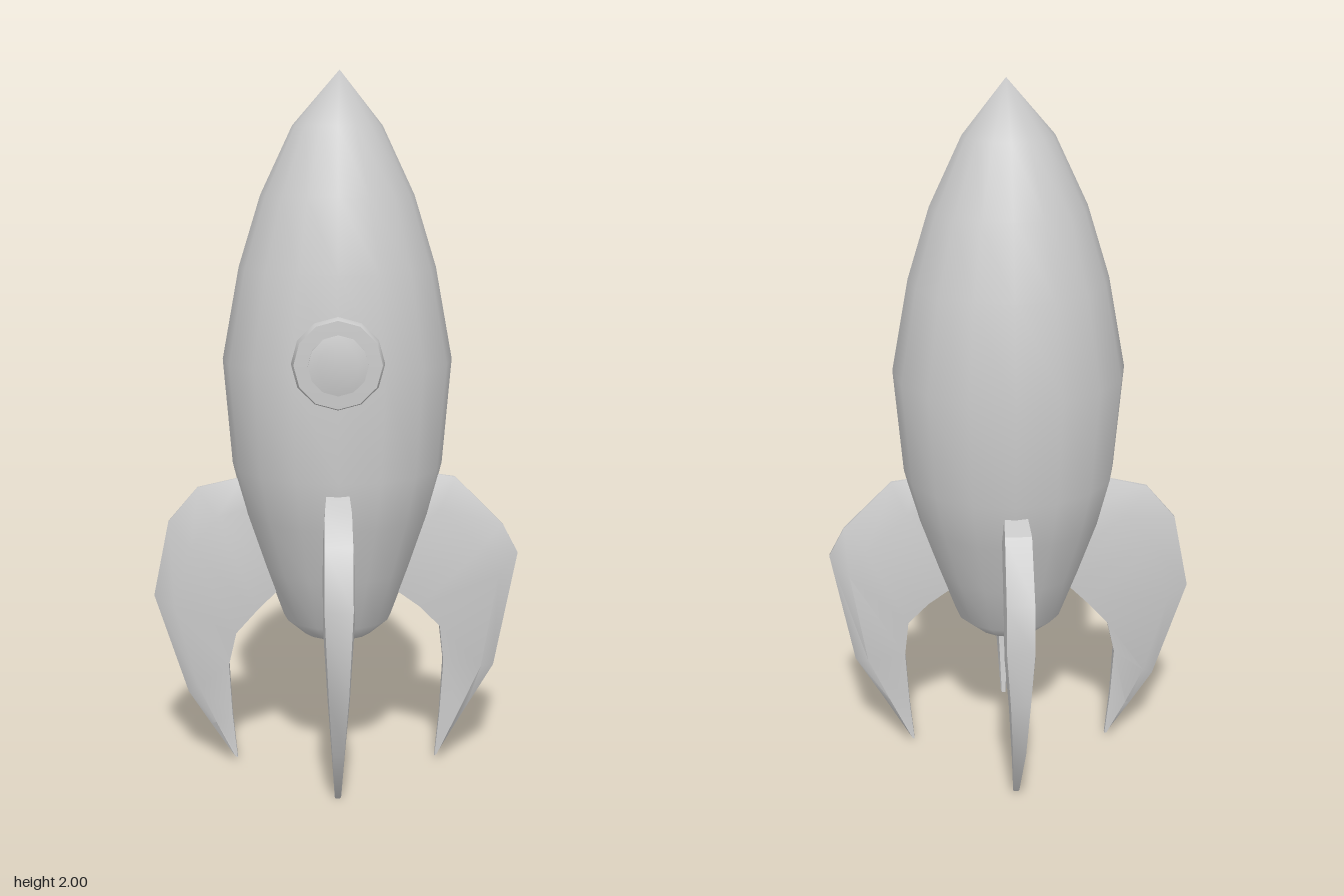
import * as THREE from 'three';
import { mergeVertices, toCreasedNormals } from 'three/addons/utils/BufferGeometryUtils.js';

const material = new THREE.MeshStandardMaterial({ color: 0xcccccc });
const points = (list) => list.map(([r, y]) => new THREE.Vector2(r, y));

// Pointed hull, slightly flattened on the front
function createHull() {
  const profile = points([
    [0, 0.4], [0.1, 0.403], [0.155, 0.45], [0.21, 0.6], [0.265, 0.76], [0.3, 0.9],
    [0.325, 1.2], [0.277, 1.46], [0.215, 1.66], [0.125, 1.85], [0, 2],
  ]);
  let geometry = new THREE.LatheGeometry(profile, 16);
  const pos = geometry.attributes.position;
  for (let i = 0; i < pos.count; i++) {
    const y = pos.getY(i);
    pos.setX(i, pos.getX(i) + (y > 1.95 ? 0.008 : 0.002));
    pos.setZ(i, Math.min(pos.getZ(i) - 0.012 * Math.sin(Math.PI * (y - 0.4) / 1.6), 0.283));
  }
  geometry.deleteAttribute('normal');
  geometry.deleteAttribute('uv');
  geometry = mergeVertices(geometry, 1e-4);
  geometry.computeVertexNormals();
  const hull = new THREE.Mesh(geometry, material);
  hull.name = 'hull';
  return hull;
}

// Stepped round window; its axis points to the front
function createPorthole() {
  const group = new THREE.Group();
  group.name = 'porthole';
  const parts = {
    portholeFrame: [[0, 0.24], [0.118, 0.24], [0.125, 0.285], [0.118, 0.312], [0, 0.318]],
    portholeGlass: [[0.08, 0.3], [0.08, 0.328], [0.055, 0.333], [0, 0.336]],
  };
  for (const [name, profile] of Object.entries(parts)) {
    const geometry = new THREE.LatheGeometry(points(profile), 12).rotateX(Math.PI / 2);
    const mesh = new THREE.Mesh(toCreasedNormals(geometry, 0.9), material);
    mesh.name = name;
    group.add(mesh);
  }
  group.position.set(0, 1.228, 0);
  return group;
}

// Curved fin: each station is [outer r, outer y, inner r, inner y, half thickness];
// edge is how much of the thickness is kept along the outer rim
function createFin(name, angle, stations, edge) {
  const vertices = [], index = [];
  const n = 6;
  for (const [ro, yo, ri, yi, w] of stations) {
    const ring = [[0, edge], [0.26, 1], [1, 0.65], [1, -0.65], [0.26, -1], [0, -edge]];
    for (const [t, s] of ring) vertices.push(ro + (ri - ro) * t, yo + (yi - yo) * t, w * s);
  }
  for (let i = 0; i < stations.length - 1; i++) {
    for (let j = 0; j < n; j++) {
      const a = i * n + j, b = i * n + (j + 1) % n;
      index.push(a, b, a + n, b, b + n, a + n);
    }
  }
  // Cap at the foot
  const last = (stations.length - 1) * n;
  for (let j = 1; j < n - 1; j++) index.push(last, last + j, last + j + 1);

  const geometry = new THREE.BufferGeometry();
  geometry.setAttribute('position', new THREE.Float32BufferAttribute(vertices, 3));
  geometry.setIndex(index);
  const fin = new THREE.Mesh(toCreasedNormals(geometry, 0.75), material);
  fin.name = name;
  fin.rotation.y = angle;
  return fin;
}

export function createModel() {
  const model = new THREE.Group();
  model.name = 'rocket';
  model.add(createHull(), createPorthole());

  model.add(createFin('leftFin', 0, [
    [0.27, 0.87, 0.1, 0.57, 0.035], [0.34, 0.86, 0.17, 0.53, 0.042], [0.48, 0.72, 0.24, 0.48, 0.043],
    [0.525, 0.635, 0.3, 0.42, 0.042], [0.46, 0.295, 0.312, 0.31, 0.028], [0.38, 0.16, 0.303, 0.15, 0.018],
    [0.3, 0.022, 0.29, 0.012, 0.009],
  ], 0.12));
  model.add(createFin('rightFin', Math.PI, [
    [0.27, 0.86, 0.1, 0.57, 0.035], [0.4, 0.83, 0.17, 0.53, 0.042], [0.485, 0.73, 0.23, 0.47, 0.043],
    [0.53, 0.51, 0.292, 0.4, 0.04], [0.435, 0.215, 0.315, 0.3, 0.025], [0.37, 0.115, 0.307, 0.15, 0.016],
    [0.302, 0.015, 0.293, 0.01, 0.009],
  ], 0.12));
  model.add(createFin('frontFin', -Math.PI / 2, [
    [0.27, 0.865, 0.1, 0.57, 0.035], [0.36, 0.84, 0.17, 0.53, 0.04], [0.45, 0.77, 0.23, 0.48, 0.042],
    [0.503, 0.61, 0.29, 0.42, 0.042], [0.475, 0.37, 0.308, 0.29, 0.03], [0.37, 0.165, 0.297, 0.15, 0.018],
    [0.29, 0.01, 0.28, 0, 0.009],
  ], 0.9));
  model.add(createFin('backFin', Math.PI / 2, [
    [0.27, 0.865, 0.1, 0.59, 0.035], [0.385, 0.85, 0.18, 0.56, 0.04], [0.485, 0.69, 0.24, 0.5, 0.042],
    [0.497, 0.56, 0.315, 0.43, 0.042], [0.49, 0.4, 0.325, 0.3, 0.03], [0.445, 0.22, 0.318, 0.16, 0.02],
    [0.315, 0.022, 0.307, 0.012, 0.009],
  ], 0.9));
  return model;
}
